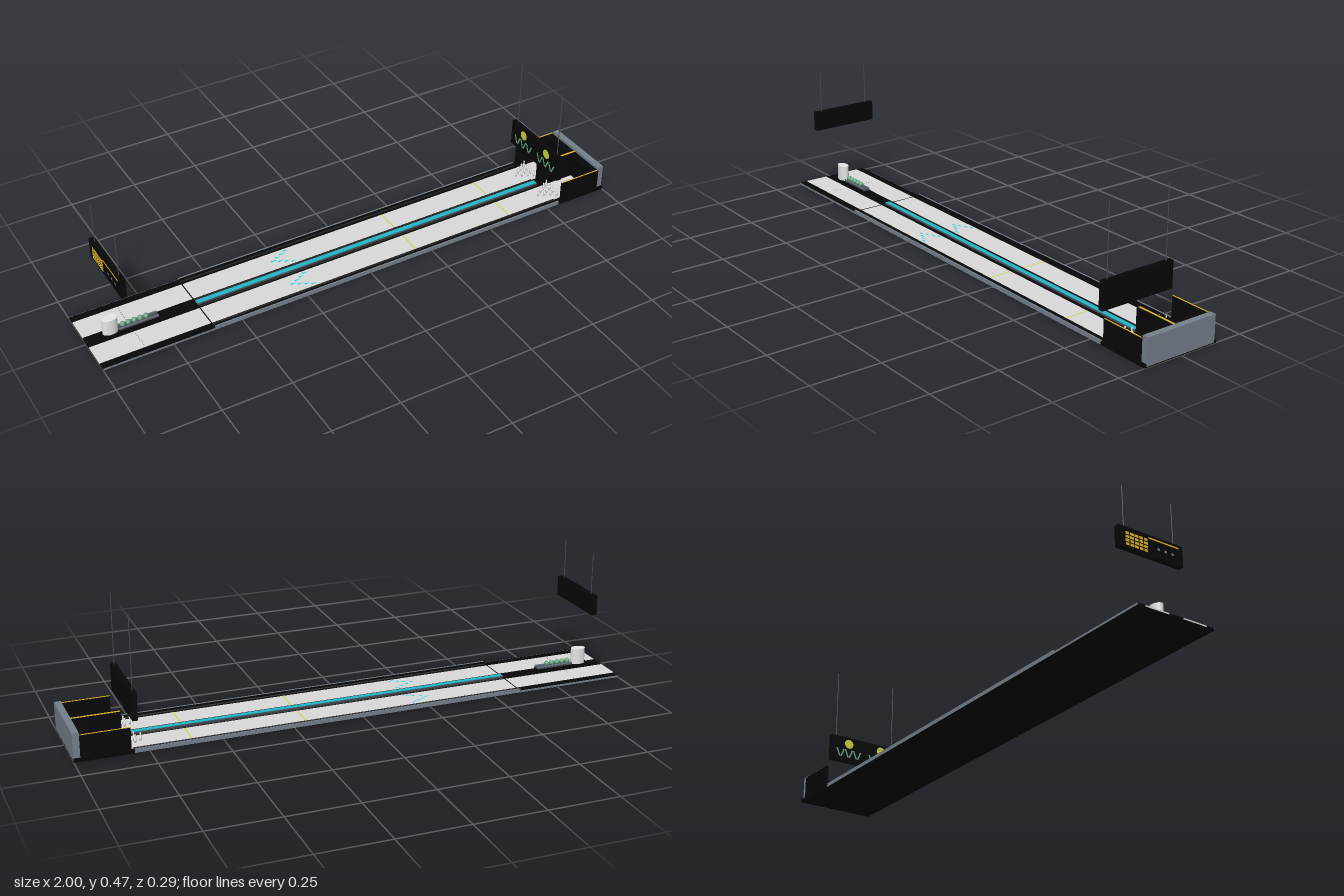
import * as THREE from 'three';

const mat = (name, color, side = THREE.FrontSide) => {
  const m = new THREE.MeshStandardMaterial({ color, side });
  m.name = name;
  return m;
};

export function createModel() {
  const black = mat('black', 0x070707, THREE.DoubleSide);
  const wood = mat('paleLane', 0xdadada);
  const steel = mat('steelGrey', 0x76808b);
  const dark = mat('darkGrey', 0x4a4f57);
  const cyan = mat('cyan', 0x1fb8ca);
  const arrowCyan = mat('brightCyan', 0x10dcec);
  const gold = mat('gold', 0xe0b420);
  const lime = mat('yellowGreen', 0xd2d840);
  const green = mat('green', 0x66a582);
  const white = mat('pinWhite', 0xe6e6e6);

  const model = new THREE.Group();
  model.name = 'bowlingAlley';

  const add = (name, geo, material, x = 0, y = 0, z = 0, parent = model) => {
    const m = new THREE.Mesh(geo, material);
    m.name = name;
    m.position.set(x, y, z);
    parent.add(m);
    return m;
  };
  // Box given by its limits on each axis
  const box = (name, material, x0, x1, y0, y1, z0, z1, parent = model) =>
    add(name, new THREE.BoxGeometry(x1 - x0, y1 - y0, z1 - z0), material,
      (x0 + x1) / 2, (y0 + y1) / 2, (z0 + z1) / 2, parent);

  // Floor slab and approach centre
  box('floorSlab', black, -1, 1, 0, 0.003, -0.147, 0.147);
  box('approachCentre', black, -1, -0.6, 0.003, 0.008, -0.027, 0.027);

  // Bowling pin profile
  const pinGeo = new THREE.LatheGeometry([
    [0, 0], [0.0026, 0], [0.0048, 0.006], [0.0052, 0.01], [0.0042, 0.015],
    [0.0022, 0.02], [0.0024, 0.023], [0.003, 0.026], [0.0022, 0.029], [0, 0.03],
  ].map(([r, y]) => new THREE.Vector2(r, y)), 12);

  // Flat lane arrow, pointing along the lane
  const arrowGeo = new THREE.ShapeGeometry(new THREE.Shape([
    new THREE.Vector2(-0.012, -0.004), new THREE.Vector2(0.012, 0), new THREE.Vector2(-0.012, 0.004),
  ]));
  arrowGeo.rotateX(-Math.PI / 2);
  const dotGeo = new THREE.CircleGeometry(0.0018, 10);
  dotGeo.rotateX(-Math.PI / 2);
  const stripeGeo = new THREE.PlaneGeometry(0.005, 0.09);
  stripeGeo.rotateX(-Math.PI / 2);

  // Shallow half-round gutter running along x
  const gutterGeo = (width) => {
    const g = new THREE.CylinderGeometry(width / 2, width / 2, 1.4, 10, 1, true, -Math.PI / 2, Math.PI);
    g.rotateZ(Math.PI / 2);
    const p = g.attributes.position;
    // Put the arc across z, sagging below the lane edge
    for (let i = 0; i < p.count; i++)
      p.setXYZ(i, p.getX(i), (-Math.abs(p.getZ(i)) / (width / 2)) * 0.0045, p.getY(i));
    g.computeVertexNormals();
    return g;
  };

  for (const s of [-1, 1]) {
    const lane = new THREE.Group();
    lane.name = s > 0 ? 'frontLane' : 'backLane';
    model.add(lane);
    const c = s * 0.072;
    const side = (name, material, x0, x1, y0, y1, a, b) =>
      box(name, material, x0, x1, y0, y1, Math.min(s * a, s * b), Math.max(s * a, s * b), lane);

    // Playing surface, borders, rails
    side('approach', wood, -1, -0.602, 0.003, 0.008, 0.027, 0.117);
    side('foulLine', black, -0.602, -0.598, 0.003, 0.0082, 0.027, 0.117);
    side('laneBed', wood, -0.598, 0.945, 0.003, 0.008, 0.027, 0.117);
    side('approachBorder', black, -1, -0.6, 0.003, 0.008, 0.117, 0.1462);
    side('edgeTrim', steel, -1, 0.8, 0.001, 0.008, 0.1462, 0.1475);
    side('outerRail', black, -0.6, 0.8, 0.003, 0.014, 0.137, 0.1415);
    side('outerRailCap', steel, -0.6, 0.8, 0.003, 0.015, 0.1415, 0.147);
    add('outerGutter', gutterGeo(0.02), black, 0.1, 0.008, s * 0.127, lane);
    add('innerGutter', gutterGeo(0.015), black, 0.1, 0.008, s * 0.0195, lane);

    // Painted lane markings
    for (const x of [0.2, 0.6]) add('laneStripe', stripeGeo, lime, x, 0.0086, c, lane);
    for (let k = -3; k <= 3; k++) {
      add('laneArrow', arrowGeo, arrowCyan, -0.265 + Math.abs(k) * 0.021, 0.0086, c + k * 0.011, lane);
      add('approachDot', dotGeo, dark, -0.84, 0.0086, c + k * 0.011, lane);
    }

    // Ten pins in a triangle
    for (let r = 0; r < 4; r++)
      for (let i = 0; i <= r; i++)
        add('pin', pinGeo, white, 0.762 + r * 0.02, 0.008, c + (i - r / 2) * 0.022, lane);

    // Pit side wall with trim
    side('pitWall', black, 0.81, 0.975, 0.003, 0.091, 0.139, 0.146);
    side('pitWallTrim', gold, 0.81, 0.975, 0.091, 0.0925, 0.1405, 0.1445);
    side('pitKickplate', black, 0.8, 1, 0.003, 0.012, 0.139, 0.1475);
  }

  // Divider between the lanes
  box('centreRail', dark, -0.6, 0.8, 0.003, 0.013, -0.012, 0.012);
  box('centreLight', cyan, -0.6, 0.8, 0.013, 0.0145, -0.0085, 0.0085);

  // Pit: divider wall, cushion and back wall
  box('pitDivider', black, 0.81, 0.975, 0.003, 0.091, -0.012, 0.012);
  box('pitDividerTrim', gold, 0.81, 0.975, 0.091, 0.0925, -0.0035, 0.0035);
  box('pitCushion', black, 0.945, 0.977, 0.003, 0.088, -0.139, 0.139);
  box('backWall', steel, 0.977, 1, 0.003, 0.099, -0.14, 0.14);

  // Ball return: base, oval hood, tray and balls
  const ballReturn = new THREE.Group();
  ballReturn.name = 'ballReturn';
  model.add(ballReturn);
  box('returnBase', black, -0.95, -0.74, 0.008, 0.018, -0.014, 0.014, ballReturn);
  const hoodGeo = new THREE.CylinderGeometry(0.0275, 0.0275, 0.058, 32);
  hoodGeo.scale(1, 1, 0.65);
  add('returnHood', hoodGeo, white, -0.912, 0.047, 0, ballReturn);
  box('returnTray', dark, -0.884, -0.742, 0.018, 0.024, -0.012, 0.012, ballReturn);
  for (const s of [-1, 1])
    box('trayRail', steel, -0.884, -0.742, 0.024, 0.028, s * 0.0115 - 0.001, s * 0.0115 + 0.001, ballReturn);
  const ballGeo = new THREE.SphereGeometry(0.0095, 16, 12);
  for (let i = 0; i < 5; i++)
    add('ball', ballGeo, green, -0.868 + i * 0.021, 0.0325, 0, ballReturn);

  // Hanging panels on pairs of rods
  const hangingPanel = (name, x, thick, y0, y1, halfZ, rodZ) => {
    const g = new THREE.Group();
    g.name = name;
    model.add(g);
    box('panel', black, x - thick / 2, x + thick / 2, y0, y1, -halfZ, halfZ, g);
    for (const s of [-1, 1])
      add('rod', new THREE.CylinderGeometry(0.0016, 0.0016, 0.467 - y1, 8), dark,
        x, (0.467 + y1) / 2, s * rodZ, g);
    return g;
  };
  const mask = hangingPanel('pinMask', 0.793, 0.018, 0.112, 0.21, 0.145, 0.122);
  const board = hangingPanel('scoreBoard', -0.896, 0.02, 0.247, 0.319, 0.126, 0.098);

  // Mask decoration: yellow discs above green slanted strokes
  const discGeo = new THREE.CylinderGeometry(0.018, 0.018, 0.001, 24);
  discGeo.rotateZ(Math.PI / 2);
  for (const s of [-1, 1]) {
    add('maskDisc', discGeo, lime, 0.7837, 0.184, s * 0.07, mask);
    for (let i = 0; i < 6; i++) {
      const bar = add('maskStroke', new THREE.BoxGeometry(0.001, 0.034, 0.006), green,
        0.7837, 0.145, s * 0.07 + (i - 2.5) * 0.018, mask);
      bar.rotation.x = i % 2 ? 0.4 : -0.4;
    }
  }

  // Score display: gold grid on one half, heading bar and marks on the other
  const bx0 = -0.907, bx1 = -0.9055;
  for (let r = 0; r < 4; r++)
    for (let i = 0; i < 5; i++) {
      const z = -0.1 + i * 0.018, y = 0.256 + r * 0.0125;
      box('scoreCell', gold, bx0, bx1, y, y + 0.009, z, z + 0.014, board);
    }
  box('scoreHeading', gold, bx0, bx1, 0.305, 0.31, -0.01, 0.11, board);
  for (let i = 0; i < 3; i++)
    box('scoreMark', steel, bx0, bx1, 0.275, 0.283, 0.025 + i * 0.028, 0.033 + i * 0.028, board);

  return model;
}
